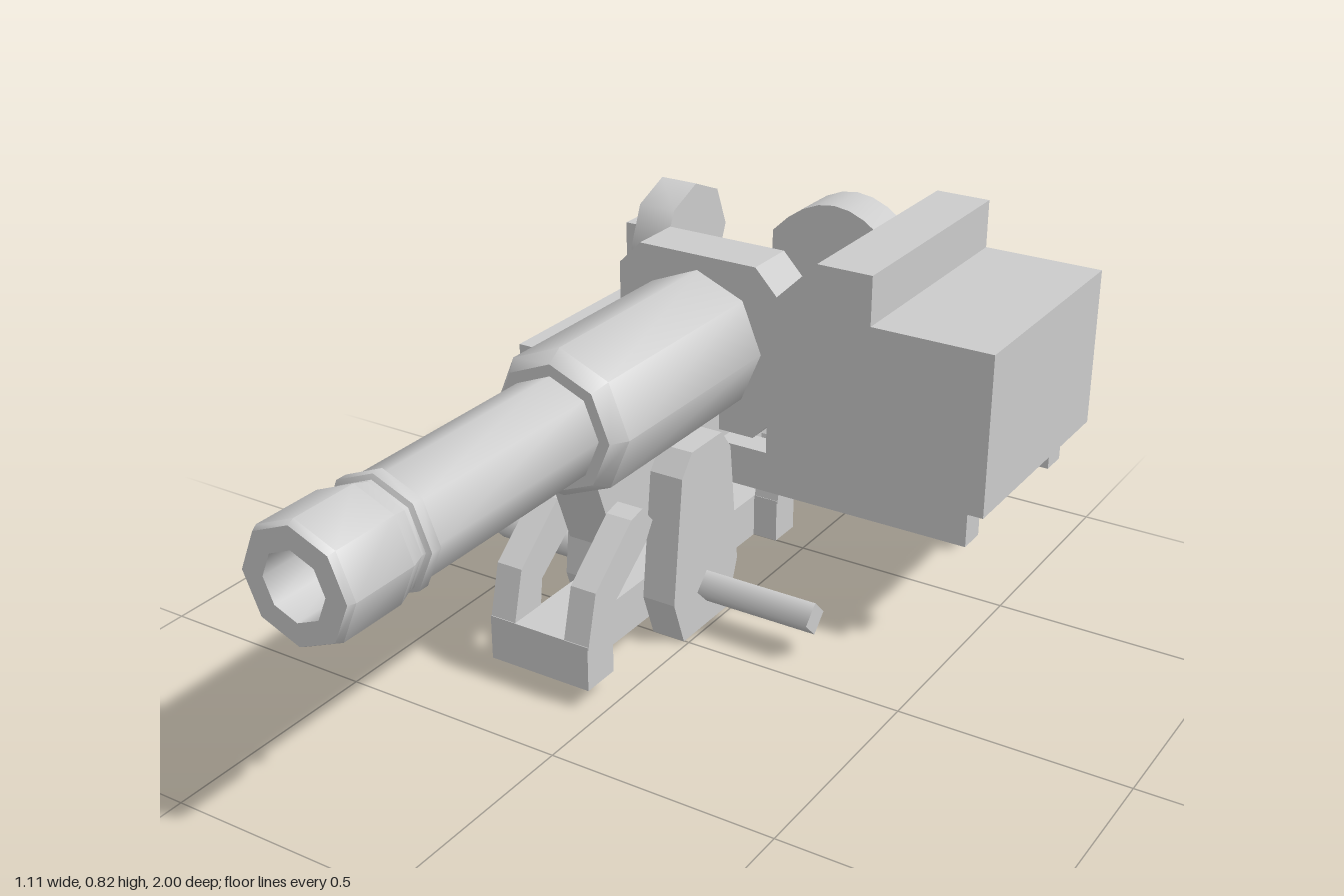
import * as THREE from 'three';
import { toCreasedNormals } from 'three/addons/utils/BufferGeometryUtils.js';

const material = new THREE.MeshStandardMaterial({ color: 0xcccccc });
const AXIS_X = -0.15, AXIS_Y = 0.573;

export function createModel() {
  const model = new THREE.Group();

  const add = (name, geometry) => {
    const mesh = new THREE.Mesh(geometry, material);
    mesh.name = name;
    model.add(mesh);
    return mesh;
  };
  const extrude = (points, depth) => new THREE.ExtrudeGeometry(
    new THREE.Shape(points.map(([a, b]) => new THREE.Vector2(a, b))),
    { depth, bevelEnabled: false });
  // outline in (x, y), swept from z0 to z1
  const sweepZ = (points, z0, z1) => extrude(points, z1 - z0).translate(0, 0, z0);
  // outline in (z, y), swept from x0 to x1
  const sweepX = (points, x0, x1) => extrude(points, x1 - x0).rotateY(-Math.PI / 2).translate(x1, 0, 0);
  const box = (x0, x1, y0, y1, z0, z1) => new THREE.BoxGeometry(x1 - x0, y1 - y0, z1 - z0)
    .translate((x0 + x1) / 2, (y0 + y1) / 2, (z0 + z1) / 2);

  // Eight-sided barrel with sleeve, ring, muzzle and hollow bore: [radius, z]
  const profile = [
    [0, -0.3], [0.16, -0.3], [0.16, 0.23], [0.137, 0.265], [0.112, 0.265],
    [0.112, 0.755], [0.122, 0.76], [0.122, 0.785], [0.112, 0.79], [0.112, 0.8],
    [0.124, 0.835], [0.124, 0.985], [0.117, 1], [0.07, 1], [0.07, 0.8], [0, 0.8],
  ].map(([r, z]) => new THREE.Vector2(r, z));
  const barrel = add('barrel', toCreasedNormals(
    new THREE.LatheGeometry(profile, 8).rotateX(Math.PI / 2), 0.8));
  barrel.position.set(AXIS_X, AXIS_Y, 0);

  // Chamfered breech plate
  add('breechPlate', sweepZ([
    [-0.294, 0.767], [-0.007, 0.767], [0.047, 0.71], [0.047, 0.43],
    [-0.007, 0.375], [-0.294, 0.375], [-0.347, 0.43], [-0.347, 0.713],
  ], -0.39, -0.27));

  // Main beam, rising under the sleeve at the front
  add('mainBeam', sweepX([
    [0.13, 0.257], [0.2, 0.44], [-0.38, 0.44], [-0.38, 0.35], [-0.95, 0.35], [-0.95, 0.257],
  ], -0.211, -0.092));

  // Shoulder rest with arched top and narrow neck
  const arch = [];
  for (let i = 0; i <= 8; i++) {
    const t = i / 4 - 1;
    arch.push([AXIS_X + 0.164 * t, 0.70 - 0.09 * t * t]);
  }
  add('shoulderRest', toCreasedNormals(sweepZ([
    ...arch, [0.014, 0.42], [-0.03, 0.38], [-0.092, 0.38], [-0.092, 0.257],
    [-0.211, 0.257], [-0.211, 0.38], [-0.27, 0.38], [-0.314, 0.42],
  ], -1, -0.88), 0.5));

  // Ammunition box on two cross bars
  add('ammunitionBox', sweepZ([
    [0.047, 0.35], [0.555, 0.35], [0.555, 0.709], [0.283, 0.709],
    [0.283, 0.818], [0.157, 0.818], [0.047, 0.709],
  ], -0.788, -0.235));
  for (const z of [-0.298, -0.73]) {
    add('boxCrossBar', box(-0.15, 0.507, 0.257, 0.35, z - 0.032, z + 0.032));
  }

  // Sight: bent arm, disc and long rod on the right side
  add('sightArm', sweepZ([
    [-0.52, 0.687], [-0.443, 0.687], [-0.443, 0.403], [-0.2, 0.347], [-0.2, 0.257], [-0.52, 0.33],
  ], -0.616, -0.553));
  const disc = add('sightDisc', toCreasedNormals(
    new THREE.CylinderGeometry(0.132, 0.132, 0.091, 8).rotateZ(Math.PI / 2), 0.8));
  disc.position.set(-0.398, 0.668, -0.59);
  add('sightRod', box(-0.402, -0.348, 0.525, 0.612, -0.6, 0.027));

  // Cradle floor between the pivot cheeks
  add('cradleFloor', box(-0.213, -0.09, 0.045, 0.146, -0.5, 0.3));
  add('frontCradleBlock', box(-0.272, -0.031, 0.045, 0.146, 0.24, 0.33));
  add('rearCradleBlock', box(-0.272, -0.031, 0.045, 0.146, -0.505, -0.425));

  // Paired parts: front and rear fork arms, pivot cheeks
  for (const side of [-1, 1]) {
    const slab = (inner, outer) => [AXIS_X + side * inner, AXIS_X + side * outer].sort((a, b) => a - b);
    const arm = slab(0.061, 0.121);
    add('frontForkArm', sweepX([
      [0.33, 0.14], [0.3, 0.257], [0.17, 0.363], [0.13, 0.372],
      [0.093, 0.33], [0.12, 0.288], [0.232, 0.205], [0.24, 0.14],
    ], ...arm));
    add('rearForkArm', sweepX([
      [-0.425, 0.14], [-0.452, 0.294], [-0.478, 0.325], [-0.51, 0.322],
      [-0.522, 0.3], [-0.505, 0.14],
    ], ...arm));
    add('pivotCheek', sweepX([
      [0.002, 0], [0.04, 0.105], [0.008, 0.39], [-0.03, 0.437],
      [-0.147, 0.437], [-0.184, 0.39], [-0.217, 0.105], [-0.18, 0],
    ], ...slab(0.061, 0.139)));
  }

  // Four-sided pivot axle
  const axle = add('pivotAxle', new THREE.CylinderGeometry(0.038, 0.038, 0.815, 4).rotateZ(Math.PI / 2));
  axle.position.set(-0.152, 0.094, -0.09);

  return model;
}
